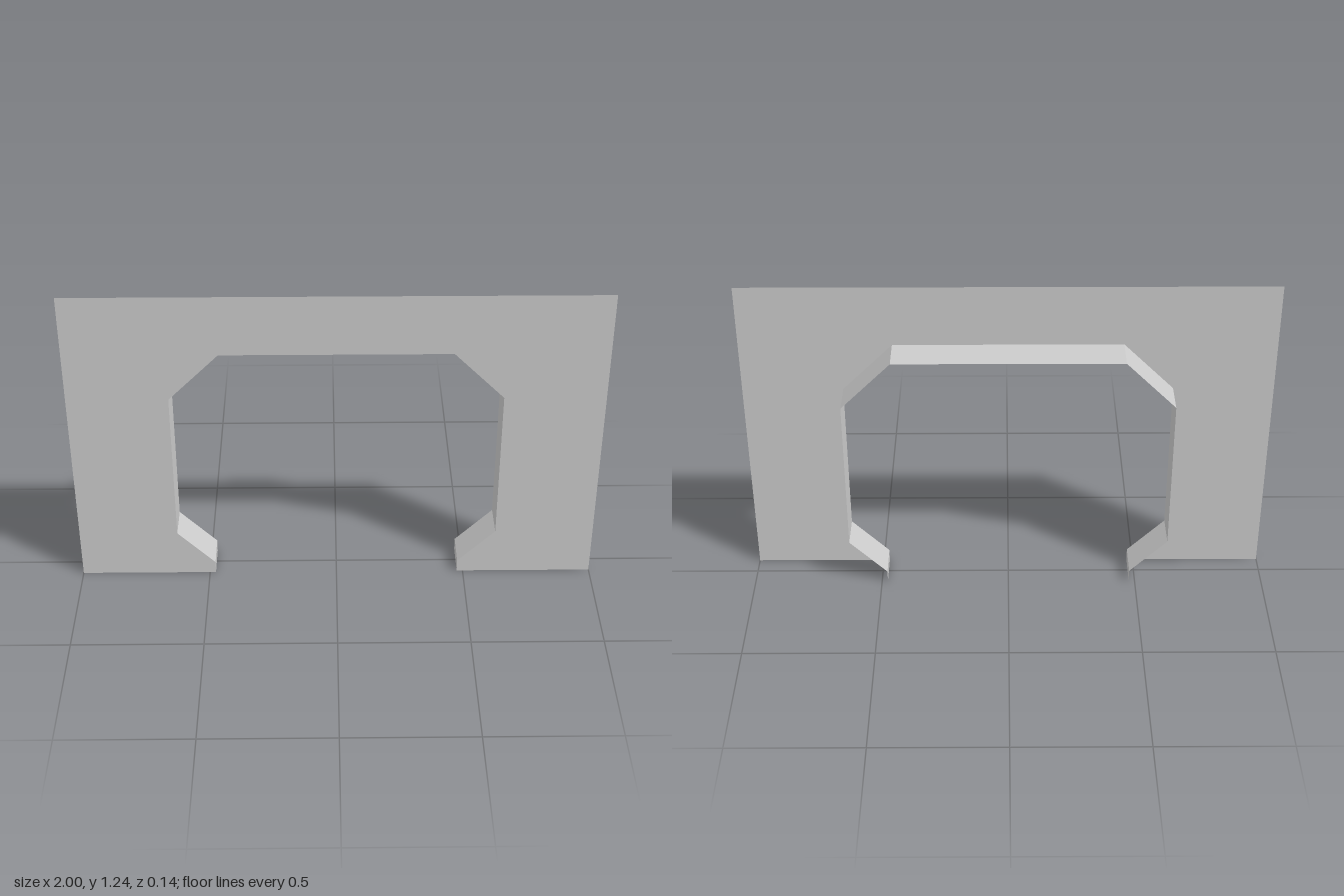
import * as THREE from 'three';

const DEPTH = 0.07; // half of the reveal depth

export function createModel() {
  const group = new THREE.Group();
  group.name = 'archwayWall';
  const material = new THREE.MeshStandardMaterial({
    color: 0xcccccc, flatShading: true, side: THREE.DoubleSide,
  });

  // Half outline of the opening, from the floor up, then mirrored
  const half = [[0.477, 0], [0.477, 0.05], [0.62, 0.193], [0.62, 0.81], [0.43, 1]];
  const opening = [...half, ...half.map(([x, y]) => [-x, y]).reverse()];

  // Thin wall face around the opening
  const outline = [[-1, 0], [-1, 1.24], [1, 1.24], [1, 0], ...opening];
  const shape = new THREE.Shape(outline.map(([x, y]) => new THREE.Vector2(x, y)));
  const wall = new THREE.Mesh(new THREE.ShapeGeometry(shape), material);
  wall.name = 'wallFace';
  wall.position.z = DEPTH;
  group.add(wall);

  // Reveal: a strip following the opening back from the wall face
  const positions = [];
  for (let i = 0; i < opening.length - 1; i++) {
    const [ax, ay] = opening[i];
    const [bx, by] = opening[i + 1];
    positions.push(
      ax, ay, DEPTH, ax, ay, -DEPTH, bx, by, -DEPTH,
      ax, ay, DEPTH, bx, by, -DEPTH, bx, by, DEPTH,
    );
  }
  const strip = new THREE.BufferGeometry();
  strip.setAttribute('position', new THREE.Float32BufferAttribute(positions, 3));
  strip.computeVertexNormals();
  const reveal = new THREE.Mesh(strip, material);
  reveal.name = 'openingReveal';
  group.add(reveal);

  return group;
}
